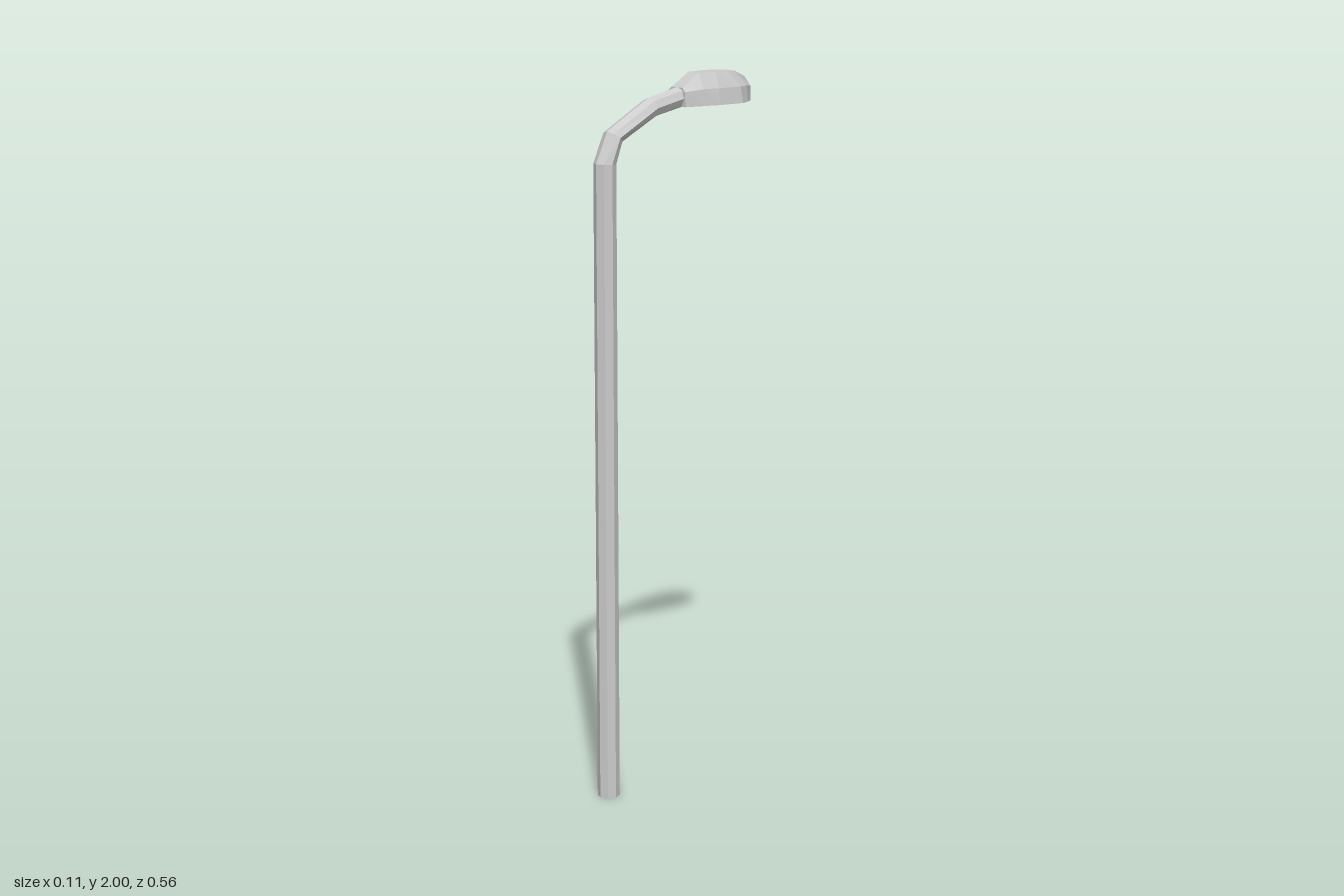
import * as THREE from 'three';

const material = new THREE.MeshStandardMaterial({ color: 0xcccccc, flatShading: true });

// Skins a list of rings (counter-clockwise about the path) and caps both ends.
function loft(name, rings) {
  const n = rings[0].length;
  const positions = [];
  const tri = (a, b, c) => positions.push(...a, ...b, ...c);
  for (let i = 0; i < rings.length - 1; i++) {
    const a = rings[i], b = rings[i + 1];
    for (let j = 0; j < n; j++) {
      const k = (j + 1) % n;
      tri(a[j], a[k], b[k]);
      tri(a[j], b[k], b[j]);
    }
  }
  const first = rings[0], last = rings[rings.length - 1];
  for (let j = 1; j < n - 1; j++) {
    tri(first[0], first[j + 1], first[j]);
    tri(last[0], last[j], last[j + 1]);
  }
  const geometry = new THREE.BufferGeometry();
  geometry.setAttribute('position', new THREE.Float32BufferAttribute(positions, 3));
  geometry.computeVertexNormals();
  const mesh = new THREE.Mesh(geometry, material);
  mesh.name = name;
  return mesh;
}

// Octagonal pole bending into the arm: [outer z, outer y, inner z, inner y]
function createPole() {
  const stations = [
    [0.276, 0, 0.214, 0],
    [0.276, 1.778, 0.215, 1.776],
    [0.237, 1.862, 0.196, 1.83],
    [0.09, 1.942, 0.074, 1.889],
    [-0.022, 1.966, -0.06, 1.915],
  ];
  return loft('poleAndArm', stations.map(([oz, oy, iz, iy]) =>
    Array.from({ length: 8 }, (_, j) => {
      const angle = (j * Math.PI) / 4;
      const s = Math.sin(angle) / 2;
      return [
        0.031 * Math.cos(angle),
        (oy + iy) / 2 - (oy - iy) * s,
        (oz + iz) / 2 - (oz - iz) * s,
      ];
    })));
}

// Lamp housing: [base x, base z], [rim x, y, z], [crown x, y, z]
function createLamp() {
  const base = 1.912;
  const stations = [
    [[0.037, -0.011], [0.034, 1.952, -0.011], [0.022, 1.963, -0.014]],
    [[0.048, -0.073], [0.043, 1.957, -0.073], [0.02, 2, -0.073]],
    [[0.057, -0.121], [0.05, 1.957, -0.123], [0.029, 2, -0.13]],
    [[0.057, -0.207], [0.05, 1.957, -0.204], [0.027, 2, -0.173]],
    [[0.039, -0.243], [0.035, 1.956, -0.24], [0.018, 1.998, -0.21]],
    [[0.011, -0.28], [0.011, 1.952, -0.278], [0.009, 1.979, -0.258]],
  ];
  return loft('lampHead', stations.map(([[bx, bz], rim, crown]) => {
    const side = [[bx, base, bz], rim, crown];
    const mirrored = side.map(([x, y, z]) => [-x, y, z]);
    return [...mirrored, ...side.reverse()];
  }));
}

export function createModel() {
  const group = new THREE.Group();
  group.name = 'streetLamp';
  group.add(createPole(), createLamp());
  return group;
}
